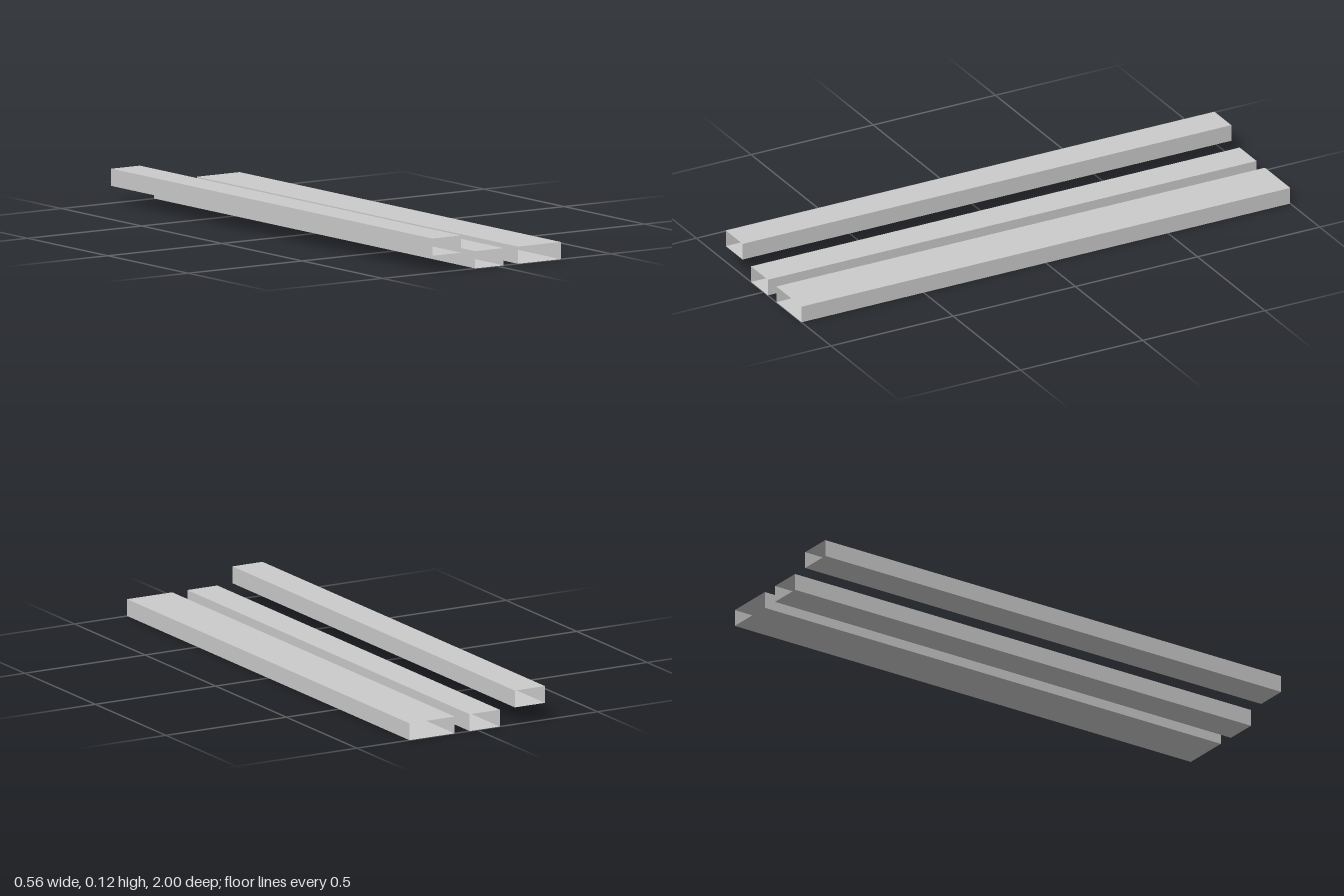
import * as THREE from 'three';

const LENGTH = 2;
const HEIGHT = 0.0625;

// Thin-walled rectangular tube along z, open at both ends
function tube(name, width, x, bottom, material) {
  const geometry = new THREE.BoxGeometry(width, HEIGHT, LENGTH);
  // Keep the four long walls and drop the two end caps
  geometry.setIndex(Array.from(geometry.index.array.slice(0, 24)));
  geometry.clearGroups();
  const mesh = new THREE.Mesh(geometry, material);
  mesh.name = name;
  mesh.position.set(x, bottom + HEIGHT / 2, 0);
  return mesh;
}

export function createModel() {
  const group = new THREE.Group();
  group.name = 'rectangularTubes';
  const material = new THREE.MeshStandardMaterial({
    color: 0xcccccc, flatShading: true, side: THREE.DoubleSide,
  });

  group.add(
    tube('raisedNarrowTube', 0.125, -0.21875, HEIGHT, material),
    tube('lowNarrowTube', 0.125, -0.03125, 0, material),
    tube('wideTube', 0.1875, 0.1875, 0, material),
  );
  return group;
}
